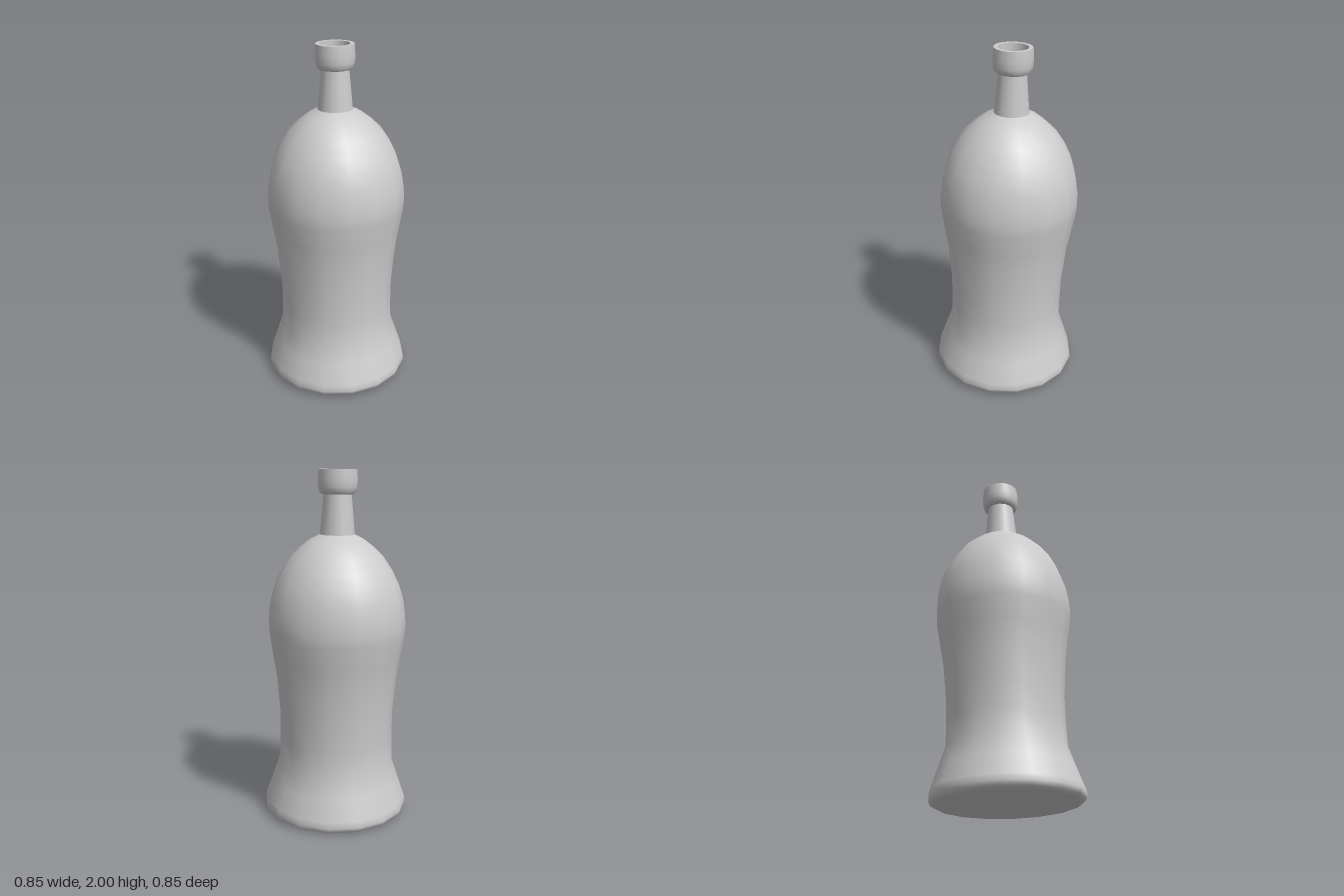
import * as THREE from 'three';

const SIDES = 16;
const material = new THREE.MeshStandardMaterial({ color: 0xcccccc });

// Revolve a [radius, height] profile, listed so that its faces point outwards
function turned(name, profile) {
  const points = profile.map(([r, y]) => new THREE.Vector2(r, y));
  const mesh = new THREE.Mesh(new THREE.LatheGeometry(points, SIDES), material);
  mesh.name = name;
  return mesh;
}

export function createModel() {
  const model = new THREE.Group();
  model.name = 'bottle';

  // The whole bottle leans slightly backwards
  const leaning = new THREE.Group();
  leaning.name = 'leaningBottle';
  leaning.rotation.x = -0.025;
  model.add(leaning);

  // Flared foot, waist and domed shoulder
  leaning.add(turned('body', [
    [0, 0.012], [0.36, 0.011], [0.395, 0.013], [0.415, 0.025], [0.424, 0.05],
    [0.415, 0.085], [0.375, 0.2], [0.336, 0.315], [0.332, 0.45], [0.333, 0.61],
    [0.352, 0.83], [0.37, 0.94], [0.391, 1.07], [0.395, 1.13], [0.391, 1.2],
    [0.376, 1.29], [0.35, 1.37], [0.31, 1.45], [0.258, 1.525], [0.2, 1.58],
    [0.15, 1.617], [0.098, 1.642],
  ]));

  // Tapered neck
  leaning.add(turned('neck', [[0.1, 1.635], [0.098, 1.648], [0.078, 1.865]]));

  // Lip: rounded outside, flat rim and straight bore, each with sharp borders
  leaning.add(turned('lipOutside', [
    [0.076, 1.861], [0.09, 1.863], [0.102, 1.874], [0.109, 1.9],
    [0.111, 1.94], [0.107, 1.997],
  ]));
  leaning.add(turned('lipRim', [[0.107, 1.997], [0.083, 1.997]]));
  leaning.add(turned('lipBore', [[0.083, 1.997], [0.082, 1.866]]));
  leaning.add(turned('boreFloor', [[0.083, 1.866], [0, 1.866]]));

  return model;
}
